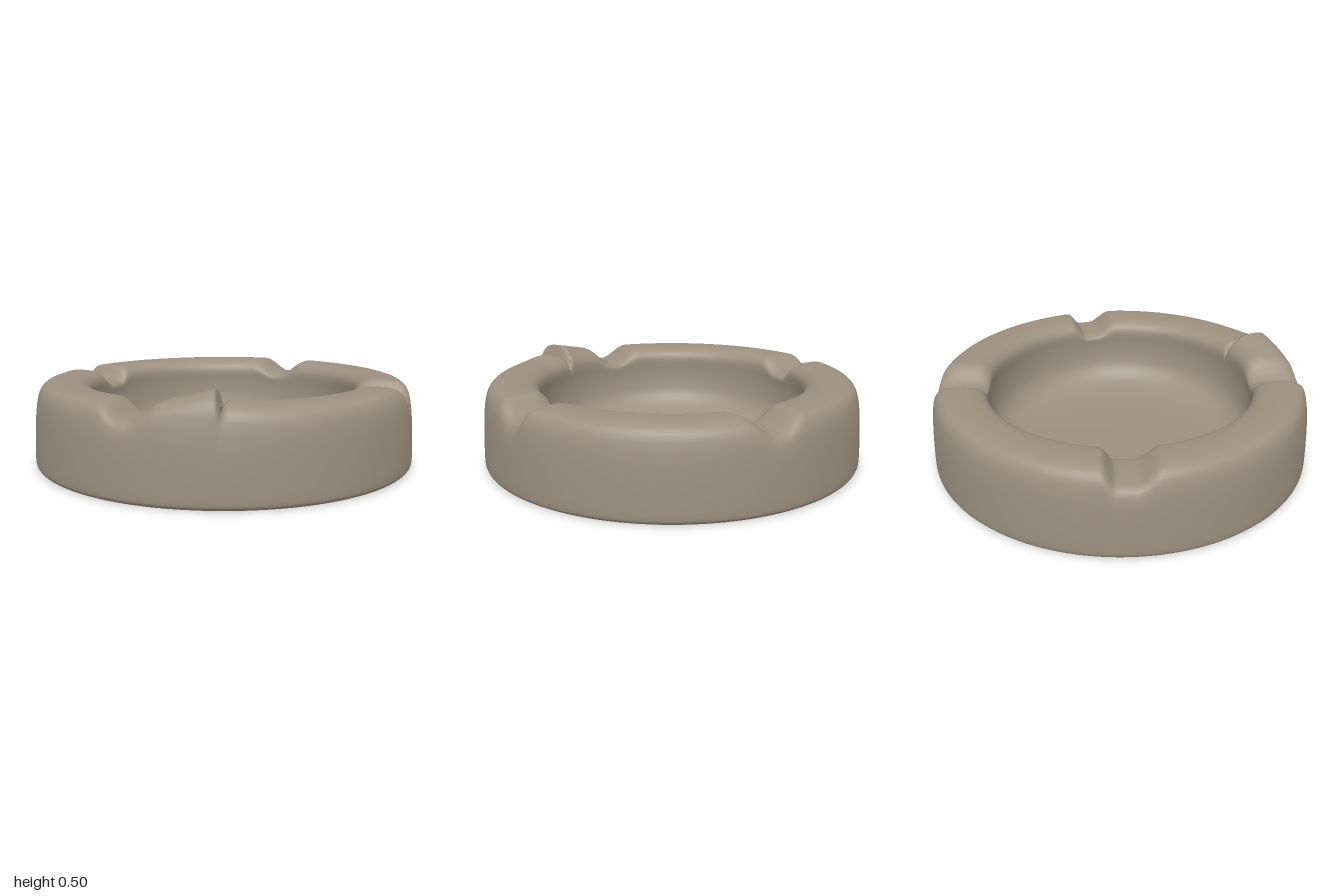
import * as THREE from 'three';
import { mergeVertices } from 'three/addons/utils/BufferGeometryUtils.js';

const { smoothstep, clamp, radToDeg } = THREE.MathUtils;
const SEGMENTS = 480;
const RIM = 0.437;   // normal rim height
const BEND = 0.24;   // heights above this follow the rim's carving

// Four channels across the rim: direction (radians from +z towards +x), start and end of each slope, depth
const notches = [
  { angle: 0, edges: [-0.155, -0.015, 0.015, 0.155], depth: 0.077 },
  { angle: Math.PI, edges: [-0.155, -0.015, 0.015, 0.155], depth: 0.077 },
  { angle: Math.PI / 2 + 0.19, edges: [-0.145, -0.015, 0.045, 0.12], depth: 0.077 },
  { angle: -Math.PI / 2, edges: [-0.125, -0.055, 0.03, 0.15], depth: 0.077 },
];

// Height change of the rim at a point on the ring
function rimOffset(x, z) {
  const r = Math.hypot(x, z);
  let offset = 0;
  for (const { angle, edges: [a, b, c, d], depth } of notches) {
    const along = x * Math.sin(angle) + z * Math.cos(angle);
    if (along < 0) continue;
    const across = x * Math.cos(angle) - z * Math.sin(angle);
    offset -= depth * smoothstep(across, a, b) * (1 - smoothstep(across, c, d));
  }
  // raised lip that climbs away from the front channel and stops at a sharp step
  const deg = radToDeg(Math.atan2(x, z));
  if (deg > 7 && deg < 42) {
    const radial = 0.45 + 0.55 * smoothstep(r, 0.7, 0.82);
    const step = 25.2;
    const foot = step + 3 - 1.8 * smoothstep(r, 0.7, 0.88);
    const climb = 0.063 * clamp((deg - 7) / (step - 7), 0, 1);
    offset += climb * radial * (1 - smoothstep(deg, step, foot));
    // narrow groove at the foot of the step, deepest on the bowl side
    const groove = 1 - smoothstep(Math.abs(deg - foot), 0, 1.2);
    offset -= (0.05 - 0.02 * smoothstep(r, 0.7, 0.85)) * groove;
    // low swell beyond the step
    offset += 0.01 * smoothstep(deg, foot, foot + 1) * (1 - smoothstep(deg, 29, 42));
  }
  return offset;
}

// Outer wall, rim and bowl in one smooth carved skin
function bodyGeometry() {
  const points = [
    [0.98, 0], [0.993, 0.01], [1, 0.035], [0.998, 0.13], [0.993, 0.23], [0.984, 0.32],
    [0.968, 0.385], [0.938, 0.421], [0.89, 0.435], [0.82, 0.437], [0.76, 0.431],
    [0.72, 0.408], [0.702, 0.37], [0.705, 0.3], [0.7, 0.22], [0.68, 0.145],
    [0.62, 0.083], [0.52, 0.05], [0.3, 0.036], [0, 0.033],
  ].map(([r, y]) => new THREE.Vector2(r, y));
  const profile = new THREE.SplineCurve(points).getPoints(57);
  profile[57].x = 0;
  const lathe = new THREE.LatheGeometry(profile, SEGMENTS);
  lathe.deleteAttribute('uv');
  lathe.deleteAttribute('normal');
  const geometry = mergeVertices(lathe, 1e-5);
  const pos = geometry.attributes.position;
  for (let i = 0; i < pos.count; i++) {
    const y = pos.getY(i);
    if (y <= BEND) continue;
    const t = (y - BEND) / (RIM - BEND);
    const weight = t * (0.4 + 0.6 * t);
    pos.setY(i, y + weight * rimOffset(pos.getX(i), pos.getZ(i)));
  }
  geometry.computeVertexNormals();
  return geometry;
}

// Flat foot facing down, with a faceted opening that shows the hollow under the bowl
function footGeometry() {
  const shape = new THREE.Shape().absarc(0, 0, 0.981, 0, Math.PI * 2);
  const opening = [];
  for (let i = 0; i < 20; i++) {
    const a = (i + 0.5) / 20 * Math.PI * 2;
    opening.push(new THREE.Vector2(Math.cos(a), Math.sin(a)).multiplyScalar(0.625));
  }
  shape.holes.push(new THREE.Path(opening));
  return new THREE.ShapeGeometry(shape, 120).rotateX(Math.PI / 2);
}

export function createModel() {
  const clay = new THREE.MeshStandardMaterial({ color: 0x9c907f, side: THREE.DoubleSide });
  clay.name = 'warm grey clay';

  const group = new THREE.Group();
  group.name = 'ashtray';
  const add = (name, geometry) => {
    const mesh = new THREE.Mesh(geometry, clay);
    mesh.name = name;
    group.add(mesh);
  };

  add('body', bodyGeometry());
  add('footRing', footGeometry());
  return group;
}
